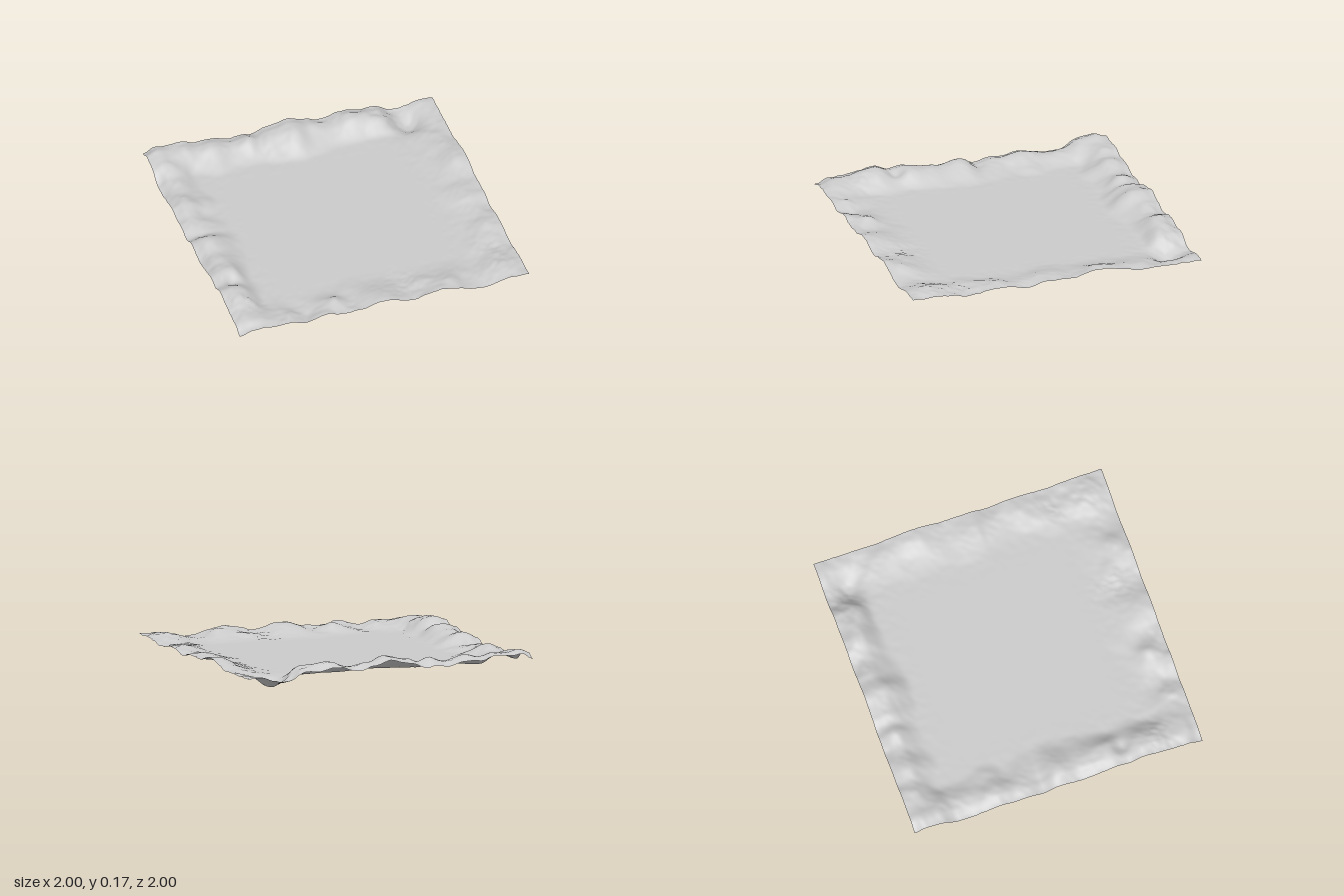
import * as THREE from 'three';

const FLOOR = 0.05;
const SEGMENTS = 128;
const { smoothstep, lerp, clamp } = THREE.MathUtils;

// Smooth interpolation through [position, height] pairs
function profile(points) {
  return (t) => {
    let i = 0;
    while (i < points.length - 2 && t > points[i + 1][0]) i++;
    const [p0, h0] = points[i], [p1, h1] = points[i + 1];
    return lerp(h0, h1, smoothstep(t, p0, p1));
  };
}

// Ridge heights along each side of the basin
const backRidge = profile([[-1, 0.13], [-0.93, 0.15], [-0.84, 0.135], [-0.74, 0.145], [-0.64, 0.118],
  [-0.53, 0.128], [-0.42, 0.112], [-0.31, 0.122], [-0.24, 0.108], [-0.16, 0.138], [0, 0.158], [0.12, 0.128],
  [0.25, 0.108], [0.4, 0.148], [0.5, 0.132], [0.6, 0.13], [0.7, 0.1], [0.85, 0.085], [1, 0.085]]);
const frontRidge = profile([[-1, 0.08], [-0.9, 0.115], [-0.75, 0.08], [-0.65, 0.085], [-0.53, 0.055],
  [-0.38, 0.092], [-0.2, 0.075], [0, 0.12], [0.2, 0.07], [0.42, 0.1], [0.7, 0.065], [0.88, 0.11], [1, 0.09]]);
const leftRidge = profile([[-1, 0.085], [-0.8, 0.095], [-0.58, 0.08], [-0.3, 0.118], [-0.12, 0.088],
  [0, 0.098], [0.18, 0.072], [0.4, 0.092], [0.68, 0.068], [0.85, 0.108], [1, 0.09]]);
const rightRidge = profile([[-1, 0.13], [-0.92, 0.15], [-0.84, 0.14], [-0.7, 0.105], [-0.55, 0.095],
  [-0.4, 0.118], [-0.27, 0.1], [-0.1, 0.095], [0.02, 0.115], [0.14, 0.1], [0.28, 0.118], [0.4, 0.145],
  [0.5, 0.132], [0.6, 0.158], [0.7, 0.14], [0.8, 0.122], [0.9, 0.125], [1, 0.08]]);

// Small hillocks and hollows: x, z, radius, height
const mounds = [
  [0.78, -0.84, 0.1, -0.085], [0.72, -0.96, 0.08, -0.03], [0.88, -0.76, 0.09, -0.015],
  [-0.3, 0.87, 0.06, 0.028], [0.48, 0.9, 0.06, 0.015], [-0.55, -0.89, 0.07, 0.012],
  [-0.3, -0.89, 0.07, 0.014], [-0.88, 0.47, 0.05, -0.03], [-0.82, -0.3, 0.06, -0.02],
  [-0.88, -0.4, 0.07, 0.015], [-0.89, 0.05, 0.07, 0.014], [-0.89, 0.3, 0.07, 0.012],
  [-0.93, -0.93, 0.06, 0.012], [-0.92, -0.1, 0.06, -0.018], [-0.98, -0.62, 0.07, -0.02],
];

// Rocky patches: x, z, radius
const rocks = [[0.7, -0.88, 0.13], [0.2, 0.8, 0.13], [-0.87, 0.72, 0.13], [0.9, 0.86, 0.12], [0.85, 0.62, 0.1]];

// Seeded value noise
function hash(i, j) {
  const s = Math.sin(i * 127.1 + j * 311.7) * 43758.5453;
  return (s - Math.floor(s)) * 2 - 1;
}
function noise(x, z) {
  const i = Math.floor(x), j = Math.floor(z);
  const u = smoothstep(x - i, 0, 1), v = smoothstep(z - j, 0, 1);
  return lerp(lerp(hash(i, j), hash(i + 1, j), u), lerp(hash(i, j + 1), hash(i + 1, j + 1), u), v);
}

const bell = (x, z, cx, cz, r) => Math.exp(-((x - cx) ** 2 + (z - cz) ** 2) / (r * r));

// Terrain height: flat floor, ridges on four sides, mounds and roughness
function heightAt(x, z) {
  const wobble = 0.04 * noise(x * 7 + 9, z * 7);
  const sides = [
    [smoothstep(-z + wobble, 0.7, 0.89), backRidge(x) - 0.015 * smoothstep(-z, 0.92, 1)],
    [smoothstep(z + wobble, 0.62, 0.98), frontRidge(x)],
    [smoothstep(x + wobble, 0.66, 0.95), leftRidge(z)],
    [smoothstep(-x + wobble, 0.68, 0.9), rightRidge(z) - 0.03 * smoothstep(-x, 0.92, 1)],
  ];
  let total = 0, sum = 0, flat = 1;
  for (const [w, h] of sides) {
    total += w;
    sum += w * (h - FLOOR);
    flat *= 1 - w;
  }
  const cover = 1 - flat;
  let y = FLOOR + (total > 0 ? (sum / total) * cover : 0);
  for (const [mx, mz, r, h] of mounds) y += h * bell(x, z, mx, mz, r);

  // Lumps on the rim, faint ripples at its foot, broken ground on rocky patches
  y += cover * (0.012 * noise(x * 10, z * 10) + 0.003 * noise(x * 30, z * 30));
  y += 0.0015 * smoothstep(Math.max(Math.abs(x), Math.abs(z)), 0.52, 0.7) * noise(x * 28, z * 28);
  for (const [rx, rz, r] of rocks) y += 0.006 * bell(x, z, rx, rz, r) * noise(x * 45, z * 45);
  return clamp(y, 0, 0.168);
}

export function createModel() {
  const group = new THREE.Group();
  group.name = 'terrain';

  // Open sheet displaced into a basin with a hilly rim
  const geometry = new THREE.PlaneGeometry(2, 2, SEGMENTS, SEGMENTS);
  geometry.rotateX(-Math.PI / 2);
  const position = geometry.attributes.position;
  for (let i = 0; i < position.count; i++) {
    position.setY(i, heightAt(position.getX(i), position.getZ(i)));
  }
  geometry.computeVertexNormals();

  const ground = new THREE.Mesh(geometry,
    new THREE.MeshStandardMaterial({ color: 0xcccccc, side: THREE.DoubleSide }));
  ground.name = 'basinGround';
  group.add(ground);
  return group;
}
